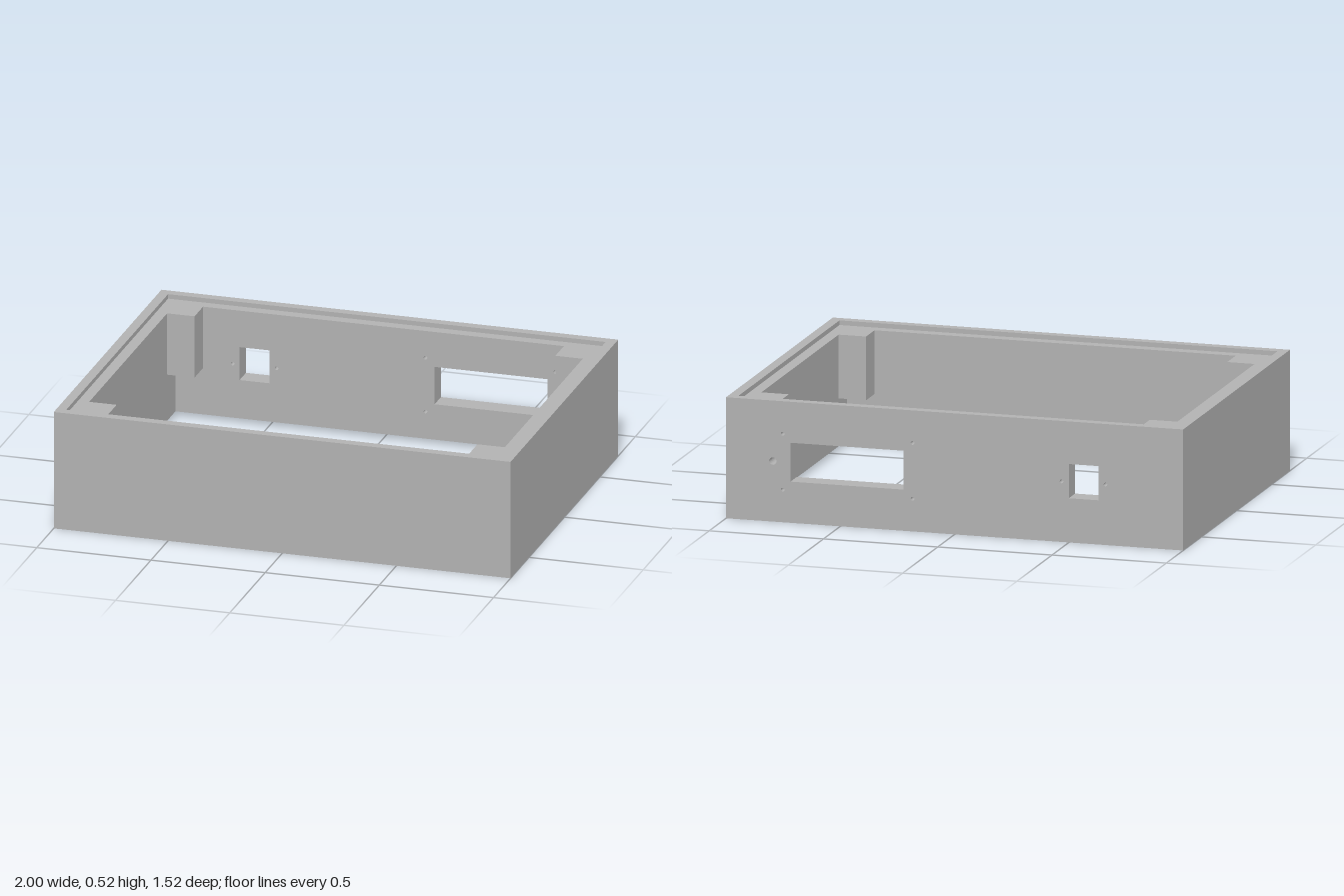
import * as THREE from 'three';

const W = 1, D = 0.76, H = 0.52;      // outer half width, half depth, height
const T = 0.09, STEP = 0.02;          // wall thickness, rebate depth
const MID = H / 2;

function rectPath(PathClass, x0, y0, x1, y1) {
  const p = new PathClass();
  p.moveTo(x0, y0).lineTo(x1, y0).lineTo(x1, y1).lineTo(x0, y1).closePath();
  return p;
}

function circlePath(x, y, r) {
  const p = new THREE.Path();
  p.absarc(x, y, r, 0, Math.PI * 2, true);
  return p;
}

function extrude(shape, depth) {
  return new THREE.ExtrudeGeometry(shape, { depth, bevelEnabled: false, curveSegments: 12 });
}

export function createModel() {
  const model = new THREE.Group();
  model.name = 'enclosureFrame';
  const grey = new THREE.MeshStandardMaterial({ color: 0xb2b2b2 });
  grey.name = 'grey';

  function add(name, geometry, x = 0, y = 0, z = 0) {
    const mesh = new THREE.Mesh(geometry, grey);
    mesh.name = name;
    mesh.position.set(x, y, z);
    model.add(mesh);
    return mesh;
  }

  // Plain front and side walls between the two rebates
  const wallH = H - 2 * STEP;
  add('frontWall', new THREE.BoxGeometry(2 * W, wallH, T), 0, MID, D - T / 2);
  for (const s of [-1, 1]) {
    add(s > 0 ? 'leftWall' : 'rightWall',
      new THREE.BoxGeometry(T, wallH, 2 * (D - T)), s * (W - T / 2), MID, 0);
  }

  // Back wall with display window, switch opening and screw holes
  const back = rectPath(THREE.Shape, -W, STEP, W, H - STEP);
  back.holes.push(
    rectPath(THREE.Path, 0.224, 0.177, 0.718, 0.344),
    rectPath(THREE.Path, -0.63, 0.19, -0.5, 0.337),
    circlePath(0.795, MID, 0.016)
  );
  for (const x of [0.184, 0.752]) {
    for (const y of [MID - 0.12, MID + 0.12]) back.holes.push(circlePath(x, y, 0.008));
  }
  for (const x of [-0.66, -0.468]) back.holes.push(circlePath(x, MID, 0.008));
  add('backWall', extrude(back, T), 0, 0, -D);

  // Thin raised rims that leave a rebate along the inner top and bottom edges
  const rim = rectPath(THREE.Shape, -W, -D, W, D);
  rim.holes.push(rectPath(THREE.Path, -0.958, -0.718, 0.958, 0.718));
  const rimGeometry = extrude(rim, STEP).rotateX(-Math.PI / 2);
  add('bottomRim', rimGeometry);
  add('topRim', rimGeometry, 0, H - STEP, 0);

  // Corner posts hanging from the upper rebate
  const postBottom = 0.226, postTop = H - STEP, size = 0.12;
  const post = new THREE.BoxGeometry(size, postTop - postBottom, size);
  for (const sx of [-1, 1]) {
    for (const sz of [-1, 1]) {
      add('cornerPost', post,
        sx * (W - T - size / 2), (postTop + postBottom) / 2, sz * (D - T - size / 2));
    }
  }
  return model;
}
